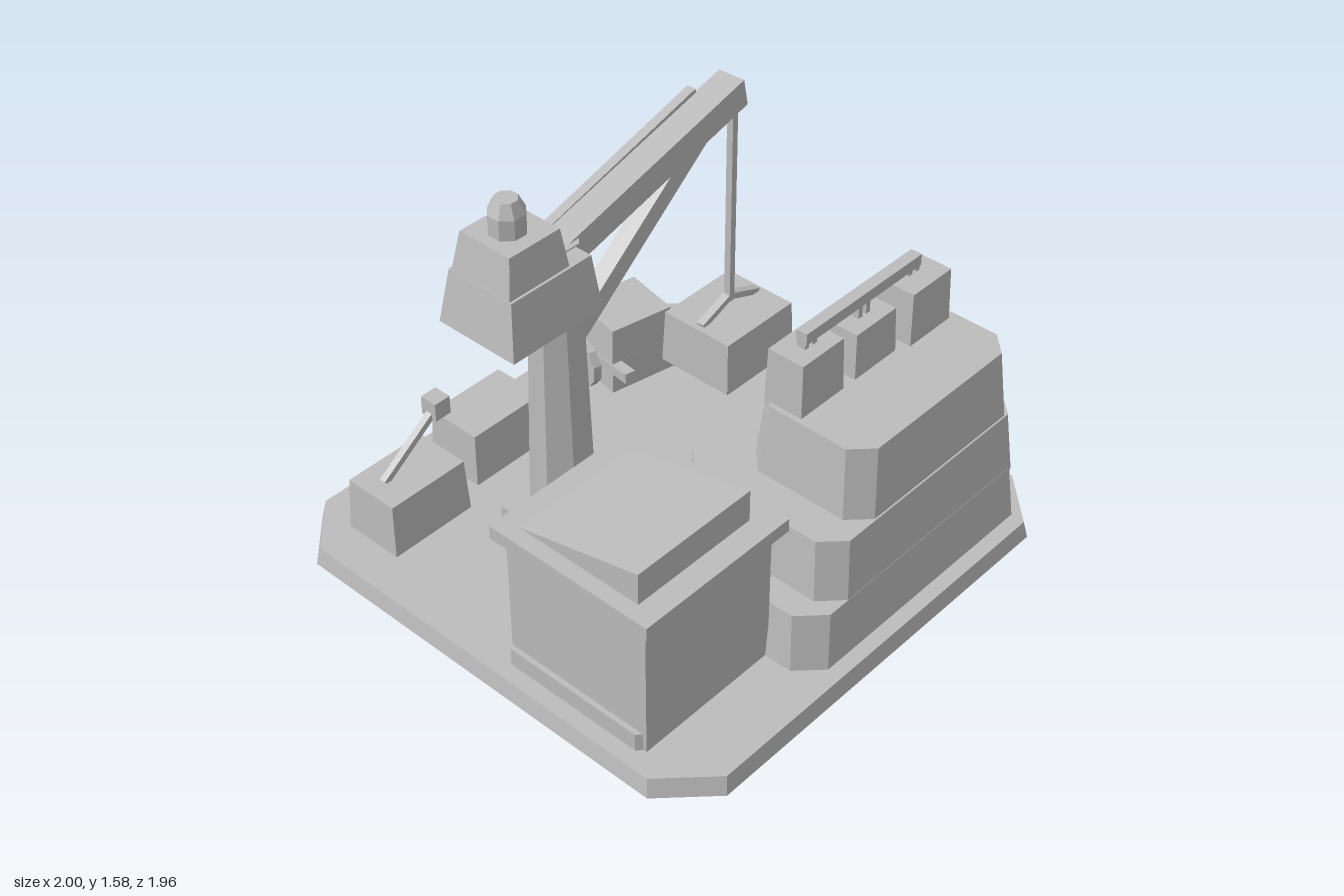
import * as THREE from 'three';

// Double-sided because the base plate and the crane housing are open shells
const stone = new THREE.MeshStandardMaterial({ color: 0xbcbcbc, side: THREE.DoubleSide });
stone.name = 'plain grey';

const GROUND = 0.073;

function add(parent, name, geometry) {
  const mesh = new THREE.Mesh(geometry, stone);
  mesh.name = name;
  parent.add(mesh);
  return mesh;
}

// Corners of a rectangle, optionally chamfered, counter-clockwise from above
function ring([x0, x1, z0, z1], c) {
  if (!c) return [[x1, z1], [x1, z0], [x0, z0], [x0, z1]];
  return [[x1, z1 - c], [x1, z0 + c], [x1 - c, z0], [x0 + c, z0],
    [x0, z0 + c], [x0, z1 - c], [x0 + c, z1], [x1 - c, z1]];
}

// Flat-faced block lofted between a bottom and a top rectangle [x0, x1, z0, z1]
function block(parent, name, y0, y1, bottom, top = bottom, { chamfer = 0, topChamfer = chamfer, open = false } = {}) {
  const lo = ring(bottom, chamfer).map(([x, z]) => [x, y0, z]);
  const hi = ring(top, topChamfer).map(([x, z]) => [x, y1, z]);
  const pos = [];
  const tri = (...pts) => pts.forEach((p) => pos.push(...p));
  const n = lo.length;
  for (let i = 0; i < n; i++) {
    const j = (i + 1) % n;
    tri(lo[i], lo[j], hi[j]);
    tri(lo[i], hi[j], hi[i]);
    if (i > 0 && i < n - 1) {
      tri(hi[0], hi[i], hi[j]);
      if (!open) tri(lo[0], lo[j], lo[i]);
    }
  }
  const g = new THREE.BufferGeometry();
  g.setAttribute('position', new THREE.Float32BufferAttribute(pos, 3));
  g.computeVertexNormals();
  return add(parent, name, g);
}

const inset = ([x0, x1, z0, z1], d) => [x0 + d, x1 - d, z0 + d, z1 - d];

// Straight bar from a to b in the parent's own frame
function bar(parent, name, a, b, w, h) {
  const from = new THREE.Vector3(...a), to = new THREE.Vector3(...b);
  const mesh = add(parent, name, new THREE.BoxGeometry(w, h, from.distanceTo(to)));
  mesh.position.copy(from).add(to).multiplyScalar(0.5);
  mesh.quaternion.setFromRotationMatrix(new THREE.Matrix4().lookAt(to, from, mesh.up));
  return mesh;
}

function faceted(rTop, rBottom, h, sides) {
  const g = new THREE.CylinderGeometry(rTop, rBottom, h, sides).rotateY(Math.PI / sides).toNonIndexed();
  g.computeVertexNormals();
  return g;
}

function group(parent, name) {
  const g = new THREE.Group();
  g.name = name;
  parent.add(g);
  return g;
}

function buildTerrace(model) {
  const t = group(model, 'steppedTerrace');
  block(t, 'lowerTier', GROUND, 0.3, [-0.322, 0.9, -0.04, 0.912], [-0.302, 0.877, -0.02, 0.893], { chamfer: 0.09 });
  block(t, 'middleTier', 0.29, 0.535, [-0.2, 0.877, 0.16, 0.893], [-0.177, 0.857, 0.183, 0.868], { chamfer: 0.08 });
  block(t, 'upperTier', 0.53, 0.81, [-0.035, 0.84, 0.345, 0.862], [-0.01, 0.815, 0.368, 0.838], { chamfer: 0.075 });
  // Three blocks tied together by a rail
  [[0.01, 0.23, 0.4, 0.56, 1.02], [0.29, 0.51, 0.4, 0.56, 0.99], [0.56, 0.78, 0.42, 0.585, 1.02]]
    .forEach(([x0, x1, z0, z1, top]) => {
      const r = [x0, x1, z0, z1], cx = (x0 + x1) / 2;
      block(t, 'terraceBlock', 0.8, top, r, inset(r, 0.006));
      for (const s of [-1, 1]) {
        const px = cx + s * 0.02;
        block(t, 'railPost', top - 0.01, 1.05, [px - 0.01, px + 0.01, 0.465, 0.5]);
      }
    });
  block(t, 'rail', 1.04, 1.085, [0.09, 0.7, 0.46, 0.505]);
}

function buildHouse(model) {
  const h = group(model, 'house');
  block(h, 'walls', GROUND, 0.63, [-0.906, -0.31, 0.105, 0.713]);
  block(h, 'plinth', 0.062, 0.145, [-0.925, -0.3, 0.095, 0.7], undefined, { chamfer: 0.02 });
  block(h, 'roofSlab', 0.622, 0.675, [-0.94, -0.27, 0.065, 0.75]);
  // Single-pitch roof, high along the front edge
  const pitch = new THREE.Shape([[0.12, 0.67], [0.66, 0.67], [0.66, 0.8]].map((p) => new THREE.Vector2(...p)));
  const wedge = new THREE.ExtrudeGeometry(pitch, { depth: 0.52, bevelEnabled: false });
  wedge.rotateY(-Math.PI / 2);
  add(h, 'pitchedRoof', wedge).position.x = -0.36;
  // Back door with frame, step and a narrow slit beside it
  block(h, 'doorStep', 0.02, 0.115, [-0.81, -0.56, 0.01, 0.11]);
  block(h, 'door', 0.1, 0.46, [-0.76, -0.61, 0.093, 0.11]);
  for (const x of [-0.78, -0.61]) block(h, 'doorJamb', 0.1, 0.46, [x, x + 0.03, 0.075, 0.11]);
  block(h, 'doorLintel', 0.455, 0.495, [-0.8, -0.57, 0.068, 0.11]);
  block(h, 'doorHandle', 0.27, 0.3, [-0.745, -0.725, 0.083, 0.1]);
  block(h, 'wallSlit', 0.33, 0.48, [-0.475, -0.455, 0.098, 0.11]);
  // Side window
  block(h, 'windowPane', 0.34, 0.52, [-0.32, -0.3, 0.47, 0.67]);
  for (const y of [0.31, 0.5]) block(h, 'windowRail', y, y + 0.045, [-0.32, -0.283, 0.45, 0.69]);
  for (const z of [0.455, 0.66]) block(h, 'windowJamb', 0.34, 0.51, [-0.32, -0.29, z, z + 0.025]);
}

function buildCrane(model) {
  const c = group(model, 'crane');
  block(c, 'craneFooting', GROUND, 0.215, [-0.505, -0.107, -0.458, -0.028], undefined, { chamfer: 0.1 });
  block(c, 'mast', 0.2, 1.31, [-0.425, -0.185, -0.365, -0.135], [-0.39, -0.215, -0.335, -0.17],
    { chamfer: 0.07, topChamfer: 0.05 });
  // Counterweight housing, open underneath, and its cap
  block(c, 'housing', 1.1, 1.305, [-0.672, -0.265, -0.412, -0.068], [-0.64, -0.28, -0.385, -0.1], { open: true });
  block(c, 'housingTop', 1.305, 1.45, [-0.637, -0.37, -0.375, -0.11], [-0.61, -0.387, -0.355, -0.13], { open: true });
  add(c, 'capDrum', faceted(0.066, 0.066, 0.08, 8)).position.set(-0.505, 1.485, -0.245);
  add(c, 'capPoint', faceted(0.042, 0.066, 0.05, 8)).position.set(-0.505, 1.55, -0.245);
  // Boom, the side rail along its back face and the brace below it
  bar(c, 'boom', [-0.32, 1.25, -0.243], [0.63, 1.45, -0.291], 0.11, 0.11);
  bar(c, 'boomSideRail', [-0.29, 1.265, -0.313], [0.49, 1.443, -0.352], 0.036, 0.1);
  bar(c, 'brace', [-0.26, 0.885, -0.238], [0.5, 1.41, -0.287], 0.065, 0.08);
  // Hoisted load
  block(c, 'cable', 0.54, 1.42, [0.612, 0.638, -0.302, -0.274]);
  const load = [0.437, 0.813, -0.453, -0.127];
  block(c, 'hangingLoad', 0.28, 0.5, load, inset(load, 0.008));
  for (const s of [-1, 1]) bar(c, 'sling', [0.625, 0.56, -0.29], [0.625 + s * 0.155, 0.5, -0.29], 0.032, 0.025);
}

function buildYard(model) {
  const y = group(model, 'yard');
  for (const r of [[-0.835, -0.475, -0.8, -0.555], [-0.377, -0.023, -0.865, -0.622]])
    block(y, 'groundBlock', GROUND, 0.29, r, inset(r, 0.01));
  // Lever resting on one block
  bar(y, 'lever', [-0.75, 0.29, -0.69], [-0.48, 0.48, -0.69], 0.026, 0.026);
  block(y, 'leverWeight', 0.445, 0.52, [-0.52, -0.45, -0.728, -0.655]);
}

function buildCart(model) {
  const c = group(model, 'cart');
  c.position.set(0.508, 0, -0.72);
  c.rotation.y = -0.2;
  const base = [-0.148, 0.148, -0.134, 0.134];
  block(c, 'cartBed', 0.085, 0.225, base, inset(base, 0.003));
  block(c, 'cartLoad', 0.22, 0.365, inset(base, 0.003), inset(base, 0.013));
  for (const s of [-1, 1]) {
    bar(c, 'cartShaft', [s * 0.128, 0.155, -0.228], [s * 0.128, 0.21, 0.225], 0.046, 0.042);
    const wheel = add(c, 'wheel', faceted(0.1, 0.1, 0.035, 10));
    wheel.rotation.z = Math.PI / 2;
    wheel.position.set(s * 0.19, 0.174, 0);
  }
  bar(c, 'axle', [-0.2, 0.174, 0], [0.2, 0.174, 0], 0.04, 0.04);
}

export function createModel() {
  const model = new THREE.Group();
  model.name = 'quarryYard';
  const ground = [-1, 1, -0.982, 0.982];
  block(model, 'basePlate', 0, 0.072, ground, inset(ground, 0.013), { chamfer: 0.18, open: true });
  buildTerrace(model);
  buildHouse(model);
  buildCrane(model);
  buildYard(model);
  buildCart(model);
  return model;
}
